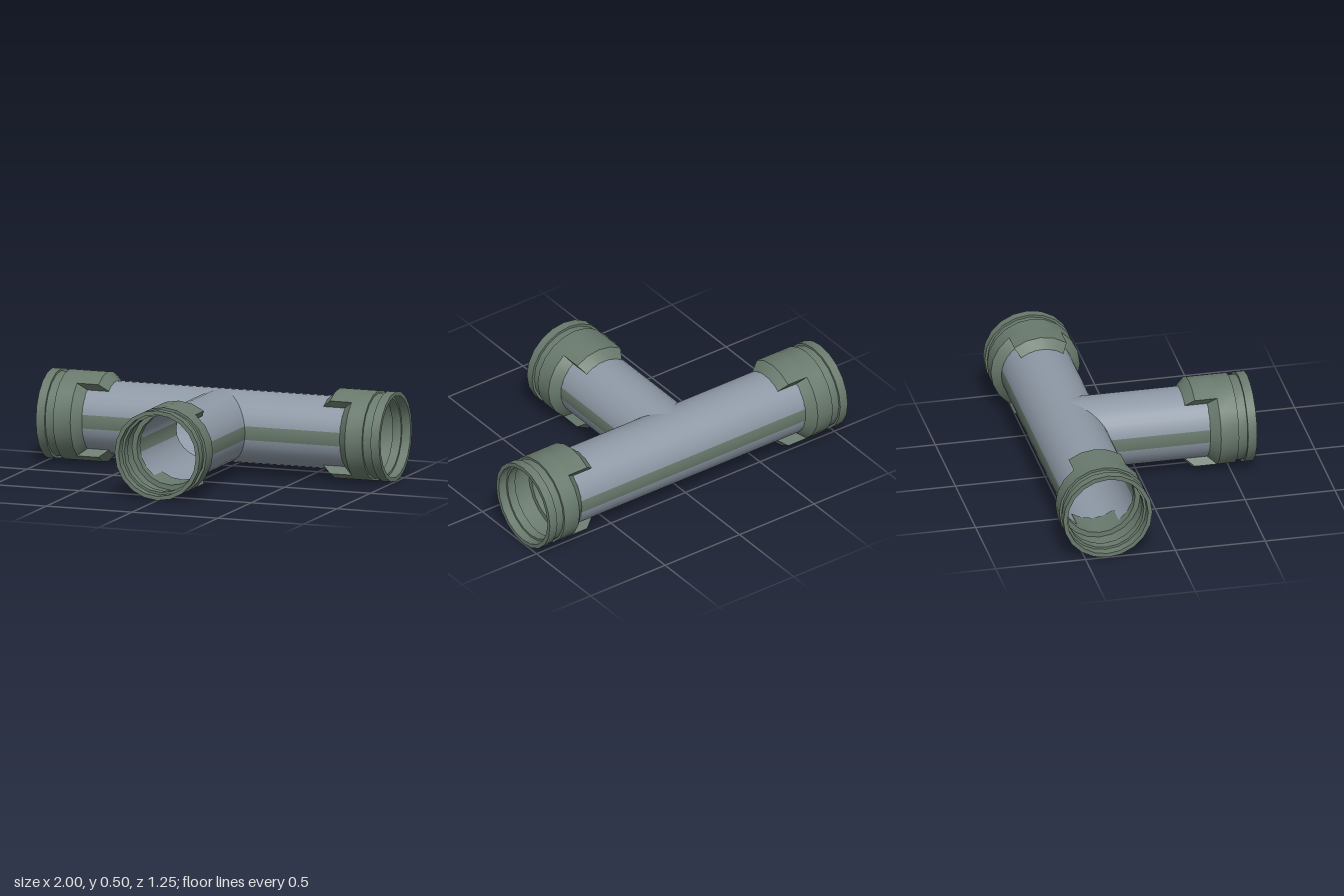
import * as THREE from 'three';
import { toCreasedNormals } from 'three/addons/utils/BufferGeometryUtils.js';

const PIPE_R = 0.2, PIPE_END = 0.76, STRIPE = 0.19, TAB = Math.PI / 5;

export function createModel() {
  const pipeMat = new THREE.MeshStandardMaterial({ color: 0x8e99a6, side: THREE.DoubleSide });
  pipeMat.name = 'blueGrey';
  const greenMat = new THREE.MeshStandardMaterial({ color: 0x697a6d, side: THREE.DoubleSide });
  greenMat.name = 'greyGreen';

  const add = (parent, name, geometry, material) => {
    const mesh = new THREE.Mesh(geometry, material);
    mesh.name = name;
    parent.add(mesh);
  };

  // Curved pipe panel along +x between two angles, trimmed at the junction
  const panel = (a0, a1, segments, start) => {
    const g = new THREE.PlaneGeometry(1, 1, 1, segments);
    const p = g.attributes.position, n = g.attributes.normal;
    for (let i = 0; i < p.count; i++) {
      const a = a0 + (p.getY(i) + 0.5) * (a1 - a0);
      const x = p.getX(i) > 0 ? PIPE_END : start(PIPE_R * Math.cos(a));
      p.setXYZ(i, x, PIPE_R * Math.sin(a), PIPE_R * Math.cos(a));
      n.setXYZ(i, 0, Math.sin(a), Math.cos(a));
    }
    return g;
  };

  // Revolve a (radius, distance) profile about the x axis
  const toPoints = (list) => list.map(([r, s]) => new THREE.Vector2(r, s));
  const revolve = (list, segments, from, length) =>
    toCreasedNormals(
      new THREE.LatheGeometry(toPoints([...list, list[0]]), segments, from, length).rotateZ(-Math.PI / 2), 0.5);

  // Hollow collar with an outer groove and a stepped bore
  const collarGeo = revolve([
    [0.2, 0.75], [0.248, 0.8], [0.248, 0.9], [0.235, 0.9], [0.235, 0.95], [0.248, 0.95], [0.248, 1],
    [0.225, 1], [0.225, 0.95], [0.212, 0.95], [0.212, 0.9], [0.225, 0.9], [0.225, 0.8],
    [0.197, 0.8], [0.197, 0.75],
  ], 20, 0, Math.PI * 2);

  // Gripping tabs above and below the pipe
  const tabProfile = [[0.197, 0.625], [0.2, 0.625], [0.248, 0.675], [0.248, 0.8], [0.197, 0.8]];
  const tabAngles = [-Math.PI / 2, Math.PI / 2];
  const tabGeos = tabAngles.map((c) => revolve(tabProfile, 4, c - TAB, 2 * TAB));
  const tabSide = (phi) => new THREE.ShapeGeometry(new THREE.Shape(toPoints(tabProfile)))
    .rotateY(phi - Math.PI / 2).rotateZ(-Math.PI / 2);

  // One arm: half pipe with two stripes, collar and tabs
  const arm = (name, turn, start) => {
    const g = new THREE.Group();
    g.name = name;
    g.rotation.y = turn;
    for (const [i, a] of [0, Math.PI].entries()) {
      add(g, 'pipeWall' + i, panel(a + STRIPE, a + Math.PI - STRIPE, 14, start), pipeMat);
      add(g, 'sideStripe' + i, panel(a - STRIPE, a + STRIPE, 2, start), greenMat);
    }
    add(g, 'collar', collarGeo, greenMat);
    tabAngles.forEach((c, i) => {
      add(g, 'tab' + i, tabGeos[i], greenMat);
      for (const s of [-1, 1]) add(g, 'tabSide' + i, tabSide(c + s * TAB), greenMat);
    });
    return g;
  };

  const model = new THREE.Group();
  model.name = 'pipeTee';
  const tee = new THREE.Group();
  tee.name = 'tee';
  tee.position.set(0, 0.251, -0.376);
  tee.add(
    arm('leftArm', 0, (z) => Math.max(0, z)),
    arm('rightArm', Math.PI, (z) => Math.max(0, -z)),
    arm('frontBranch', -Math.PI / 2, (z) => Math.abs(z)),
  );
  model.add(tee);
  return model;
}
